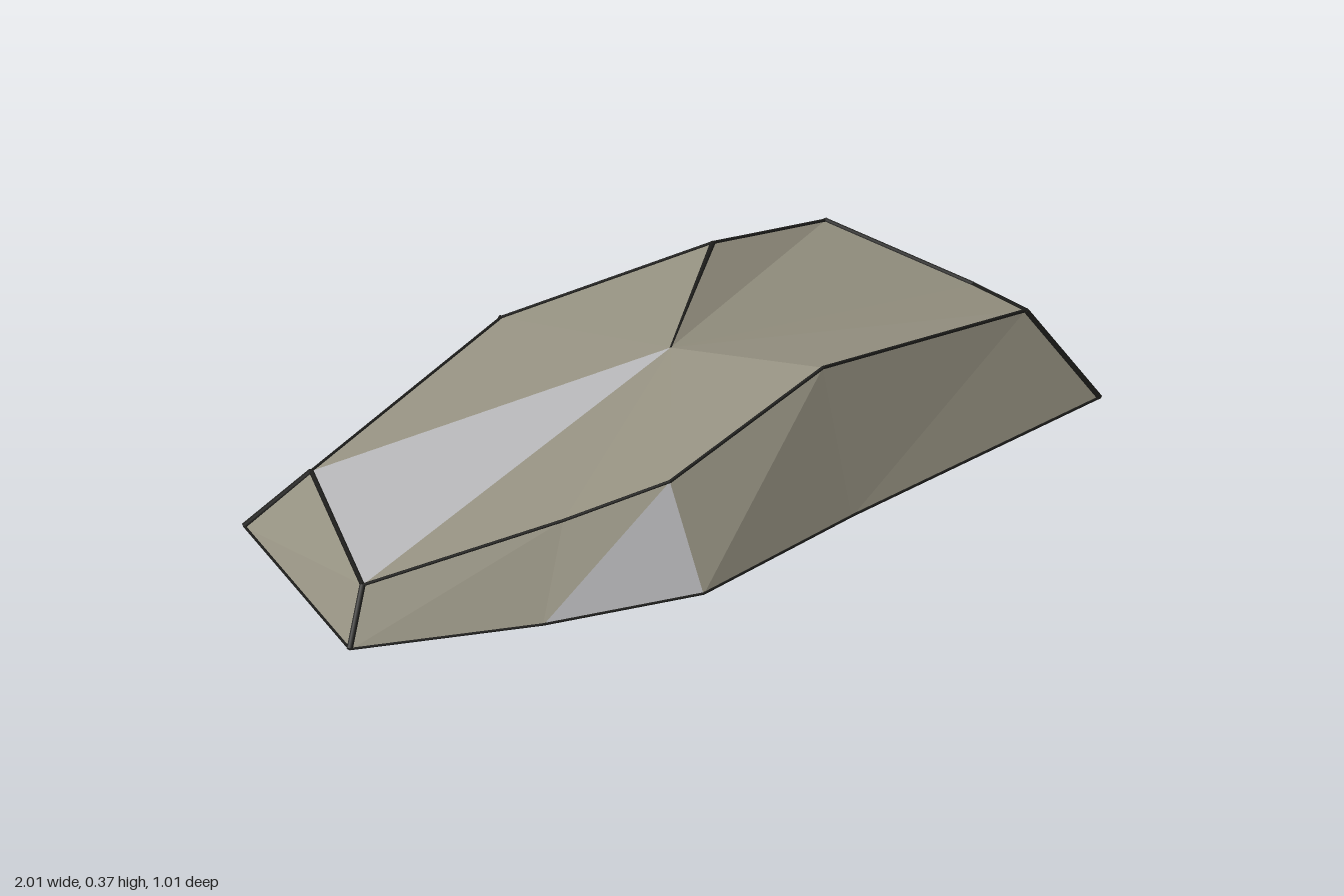
import * as THREE from 'three';

const stone = new THREE.MeshStandardMaterial({ color: 0x949080 });
stone.name = 'olive stone';
const paleStone = new THREE.MeshStandardMaterial({ color: 0xb4b4b6 });
paleStone.name = 'pale grey stone';
const ink = new THREE.MeshStandardMaterial({ color: 0x1c1c1a });
ink.name = 'dark edge';

// Ground outline and upper rim, counter-clockwise from the front right corner
const base = [
  [-1.0, 0, 0.3], [-0.57, 0, 0.43], [-0.19, 0, 0.5], [0.265, 0, 0.385], [1.0, 0, 0.235],
  [0.95, 0, -0.13], [0.757, 0, -0.505], [0.28, 0, -0.38], [-0.21, 0, -0.49], [-0.945, 0, -0.27],
].map((p) => new THREE.Vector3(...p));
const rim = [
  [-0.92, 0.105, 0.22], [-0.45, 0.18, 0.315], [-0.2, 0.232, 0.365], [0.25, 0.347, 0.28], [0.845, 0.25, 0.17],
  [0.865, 0.165, -0.1], [0.635, 0.262, -0.37], [0.285, 0.366, -0.275], [-0.22, 0.28, -0.36], [-0.81, 0.145, -0.2],
].map((p) => new THREE.Vector3(...p));
const crown = new THREE.Vector3(0.02, 0.315, -0.01);
const floor = new THREE.Vector3(0, 0, 0);
const count = base.length;

function facets(name, triangles, material) {
  const geometry = new THREE.BufferGeometry().setFromPoints(triangles.flat());
  geometry.computeVertexNormals();
  const mesh = new THREE.Mesh(geometry, material);
  mesh.name = name;
  return mesh;
}

// Slim rod along an edge, with a radius for each end
function edgeLine(a, b, r0, r1 = r0) {
  const along = b.clone().sub(a);
  const geometry = new THREE.CylinderGeometry(r1, r0, along.length(), 6);
  const mesh = new THREE.Mesh(geometry, ink);
  mesh.position.copy(a).add(b).multiplyScalar(0.5);
  mesh.quaternion.setFromUnitVectors(new THREE.Vector3(0, 1, 0), along.normalize());
  mesh.name = 'edgeLine';
  return mesh;
}

export function createModel() {
  const group = new THREE.Group();
  group.name = 'rock';
  const top = [], sides = [], underside = [], pale = [];

  for (let i = 0; i < count; i++) {
    const j = (i + 1) % count;
    // Pale facets: one on the crown, one in front, one on the left end
    (i === 9 ? pale : top).push([rim[i], rim[j], crown]);
    (i === 1 ? pale : sides).push([base[i], base[j], rim[j]]);
    (i === 5 ? pale : sides).push([base[i], rim[j], rim[i]]);
    underside.push([base[j], base[i], floor]);
  }
  group.add(
    facets('topFacets', top, stone),
    facets('sideFacets', sides, stone),
    facets('underside', underside, stone),
    facets('paleFacets', pale, paleStone),
  );

  // Dark lines along the rim, the ground outline and the sharp corners
  const lines = new THREE.Group();
  lines.name = 'edgeLines';
  const lift = new THREE.Vector3(0, 0.003, 0);
  for (let i = 0; i < count; i++) {
    const j = (i + 1) % count;
    const wide = i === 4 || i === 5 || i === 9;
    lines.add(edgeLine(rim[i], rim[j], wide ? 0.006 : 0.004));
    lines.add(edgeLine(base[i].clone().add(lift), base[j].clone().add(lift), 0.003));
  }
  for (const i of [0, 4, 6, 8, 9]) lines.add(edgeLine(base[i].clone().add(lift), rim[i], 0.007));
  lines.add(edgeLine(crown, rim[7], 0.002, 0.006));
  group.add(lines);
  return group;
}
